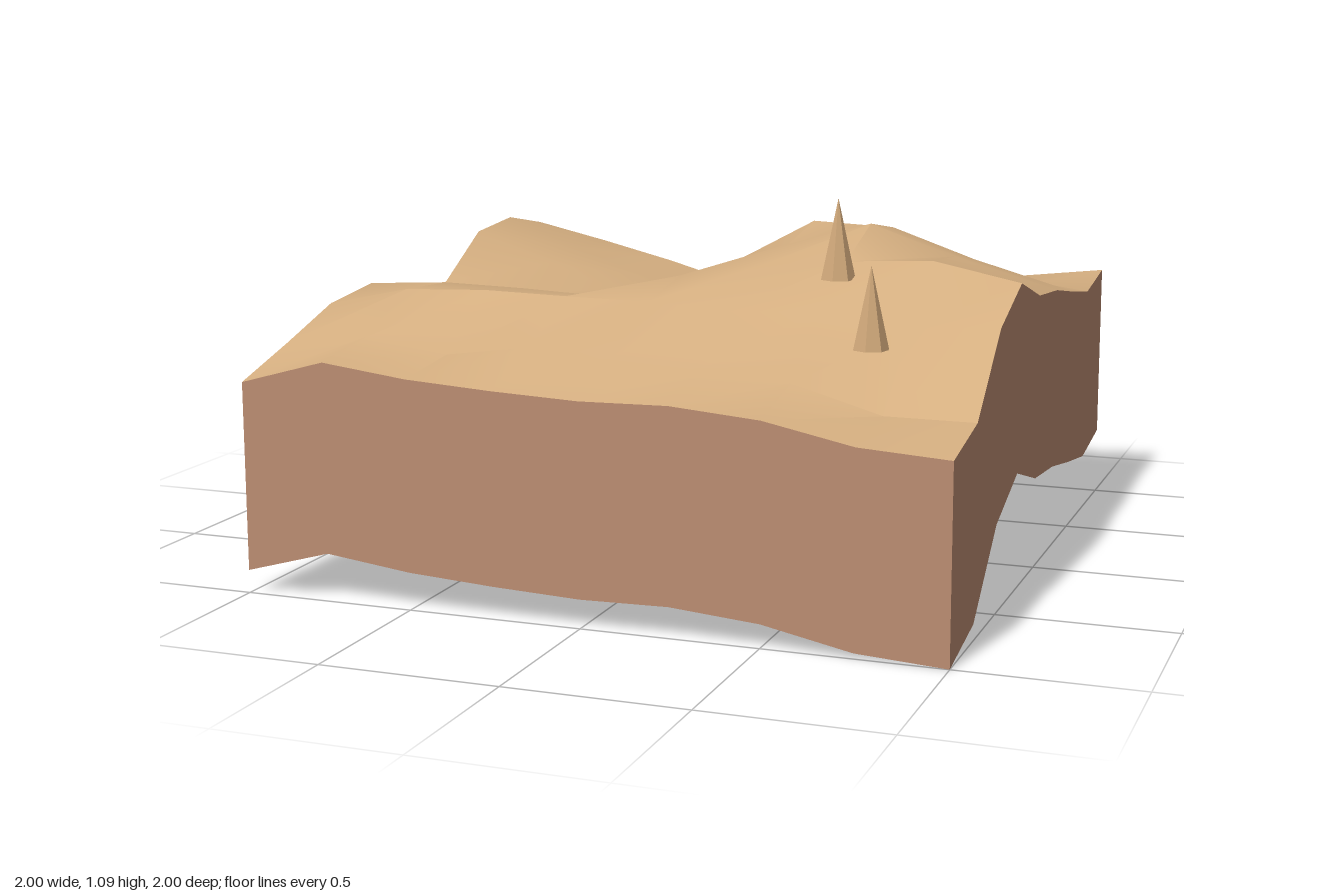
import * as THREE from 'three';
import { toCreasedNormals } from 'three/addons/utils/BufferGeometryUtils.js';

const N = 8; // terrain cells per side
const DEPTH = 0.533; // height of the cut earth walls

// Terrain heights: rows run back (z = -1) to front (z = 1), columns x = -1 to 1
const HEIGHTS = [
  [0.815, 0.76, 0.70, 0.63, 0.55, 0.58, 0.60, 0.71, 0.74],
  [0.86, 0.765, 0.68, 0.62, 0.63, 0.66, 0.69, 0.71, 0.705],
  [0.84, 0.745, 0.67, 0.71, 0.775, 0.80, 0.80, 0.78, 0.74],
  [0.705, 0.675, 0.67, 0.73, 0.805, 0.955, 0.945, 0.86, 0.78],
  [0.68, 0.68, 0.68, 0.71, 0.81, 0.915, 0.985, 0.90, 0.80],
  [0.77, 0.785, 0.78, 0.77, 0.842, 0.885, 0.907, 0.92, 0.87],
  [0.745, 0.80, 0.81, 0.805, 0.802, 0.79, 0.80, 0.77, 0.785],
  [0.67, 0.70, 0.665, 0.70, 0.695, 0.68, 0.65, 0.58, 0.58],
  [0.60, 0.67, 0.64, 0.625, 0.615, 0.62, 0.60, 0.55, 0.535],
];

export function createModel() {
  const sand = new THREE.MeshStandardMaterial({ color: 0xd4ae80, side: THREE.DoubleSide });
  sand.name = 'sand';
  const earth = new THREE.MeshStandardMaterial({ color: 0xbc8d72, side: THREE.DoubleSide });
  earth.name = 'earth';
  const spireSand = new THREE.MeshStandardMaterial({ color: 0xd0a87a, flatShading: true });
  spireSand.name = 'spire sand';

  const model = new THREE.Group();
  model.name = 'terrainTile';
  const add = (name, geometry, material) => {
    const mesh = new THREE.Mesh(geometry, material);
    mesh.name = name;
    model.add(mesh);
    return mesh;
  };

  // Rolling ground surface
  const ground = new THREE.PlaneGeometry(2, 2, N, N).rotateX(-Math.PI / 2);
  const gp = ground.attributes.position;
  for (let i = 0; i < gp.count; i++) {
    gp.setY(i, HEIGHTS[Math.floor(i / (N + 1))][i % (N + 1)]);
  }
  add('ground', toCreasedNormals(ground, 0.45), sand);

  // Cut walls: each follows one edge of the ground and hangs a fixed depth below it
  const walls = {
    frontWall: (i) => [i, N],
    leftWall: (i) => [N, N - i],
    backWall: (i) => [N - i, 0],
    rightWall: (i) => [0, i],
  };
  for (const [name, edge] of Object.entries(walls)) {
    const wall = new THREE.PlaneGeometry(2, DEPTH, N, 1);
    const wp = wall.attributes.position;
    for (let i = 0; i < wp.count; i++) {
      const [col, row] = edge(i % (N + 1));
      const drop = i > N ? DEPTH : 0;
      wp.setXYZ(i, (col * 2) / N - 1, HEIGHTS[row][col] - drop, (row * 2) / N - 1);
    }
    wall.computeVertexNormals();
    add(name, wall, earth);
  }

  // Pointed spires standing on the front slope
  for (const [x, y, z] of [[0.5, 0.868, 0.333], [0.667, 0.722, 0.583]]) {
    const spire = add('spire', new THREE.ConeGeometry(0.05, 0.225, 7), spireSand);
    spire.position.set(x, y + 0.1125, z);
  }
  return model;
}
